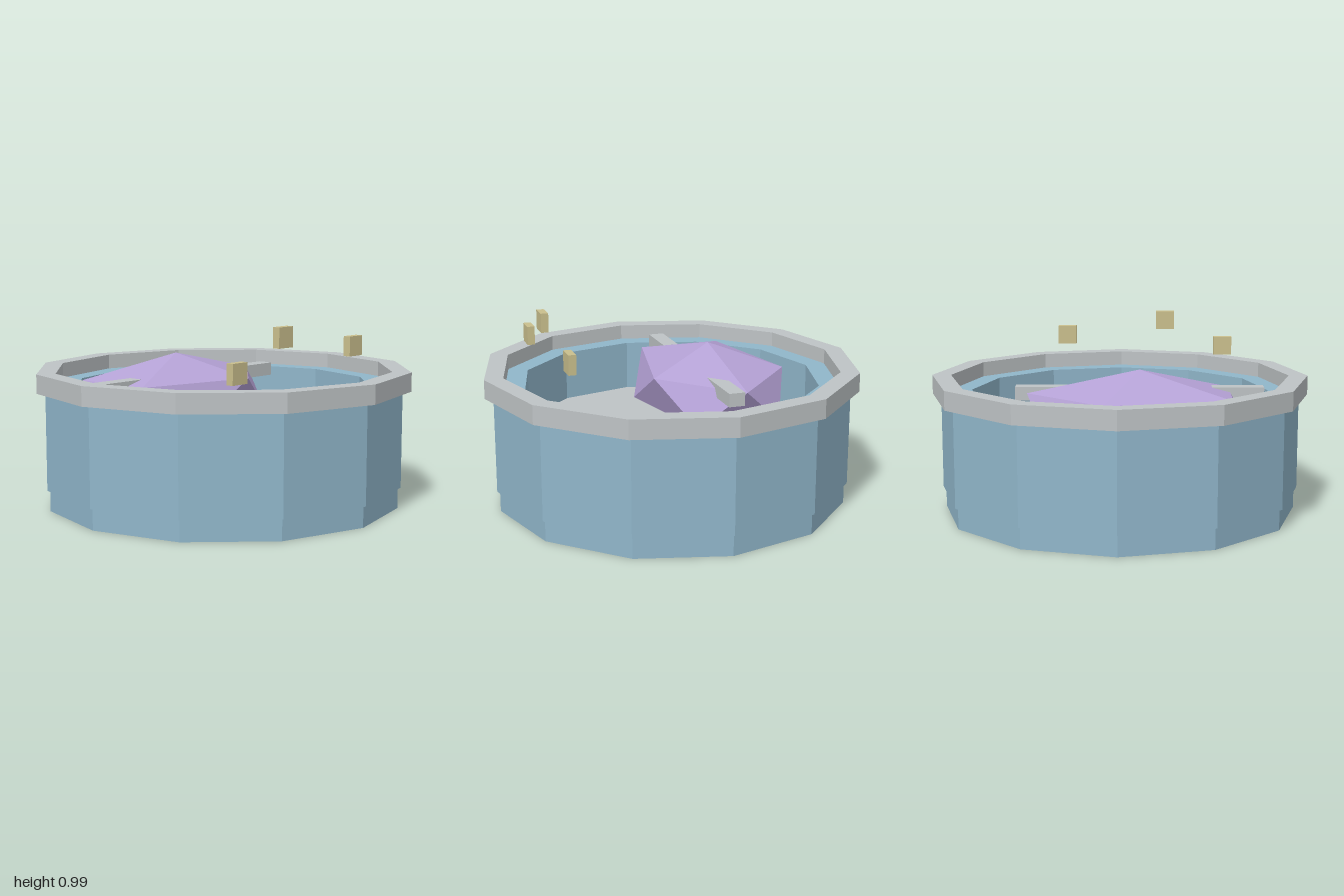
import * as THREE from 'three';
import { ConvexGeometry } from 'three/addons/geometries/ConvexGeometry.js';

const paint = (name, color) => {
  const m = new THREE.MeshStandardMaterial({ color });
  m.name = name;
  return m;
};

// Split faces so every facet is flat.
function facet(geometry) {
  const g = geometry.index ? geometry.toNonIndexed() : geometry;
  g.computeVertexNormals();
  return g;
}

// Twelve-sided turned ring from [radius, height] pairs.
const turned = (points) =>
  facet(new THREE.LatheGeometry(points.map(([r, y]) => new THREE.Vector2(r, y)), 12));

export function createModel() {
  const blue = paint('softBlue', 0x90b6ca);
  const grey = paint('paleGrey', 0xbec3c5);
  const violet = paint('lilac', 0xb5a2d6);
  const yellow = paint('sand', 0xcabf8d);

  const model = new THREE.Group();
  model.name = 'tub';
  const add = (name, geometry, material, x = 0, y = 0, z = 0) => {
    const mesh = new THREE.Mesh(geometry, material);
    mesh.name = name;
    mesh.position.set(x, y, z);
    model.add(mesh);
    return mesh;
  };

  // Stepped basin: underside, foot, outer wall, ledge and inner wall
  add('basin', turned([
    [0, 0], [0.94, 0], [0.94, 0.11], [0.955, 0.11],
    [0.955, 0.64], [0.79, 0.64], [0.79, 0.37],
  ]), blue);

  // Rim around the top
  add('rim', turned([[0.9, 0.62], [1, 0.62], [1, 0.72], [0.9, 0.72], [0.9, 0.62]]), grey);

  // Inner floor
  add('floor', turned([[0.79, 0.37], [0, 0.37]]), grey);

  // Flattened twenty-sided body, one corner pointing up
  const rx = 0.58, rz = 0.384, ry = 0.226;
  const corners = [new THREE.Vector3(0, ry, 0), new THREE.Vector3(0, -ry, 0)];
  for (let i = 0; i < 10; i++) {
    const a = (i * Math.PI) / 5;
    const y = (i % 2 ? -1 : 1) * ry * 0.447;
    corners.push(new THREE.Vector3(rx * Math.cos(a), y, rz * Math.sin(a)));
  }
  add('body', facet(new ConvexGeometry(corners)), violet, -0.105, 0.564, -0.25);

  // Arms reaching out from both sides of the body
  for (const side of [-1, 1]) {
    add(side > 0 ? 'leftArm' : 'rightArm', new THREE.BoxGeometry(0.44, 0.07, 0.085), grey,
      -0.105 + side * 0.425, 0.655, -0.168);
  }

  // Small floating tiles near the front
  [[-0.585, 0.795], [-0.253, 0.942], [0.308, 0.858]].forEach(([x, y], i) =>
    add('tile' + (i + 1), new THREE.BoxGeometry(0.103, 0.103, 0.04), yellow, x, y, 0.628));

  return model;
}
